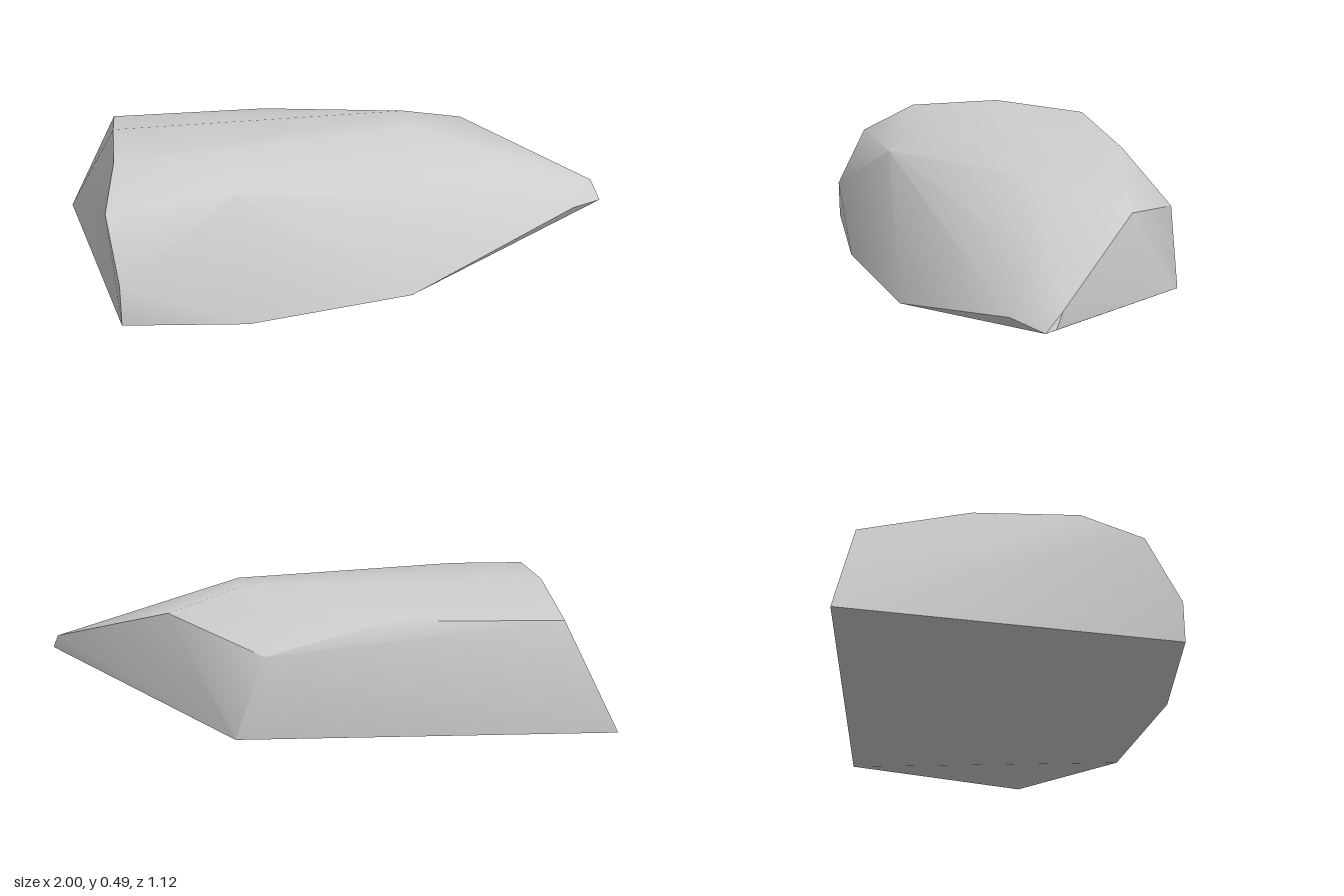
import * as THREE from 'three';
import { ConvexGeometry } from 'three/addons/geometries/ConvexGeometry.js';
import { toCreasedNormals } from 'three/addons/utils/BufferGeometryUtils.js';

export function createModel() {
  const group = new THREE.Group();
  group.name = 'rock';
  const stone = new THREE.MeshStandardMaterial({ color: 0xcccccc });
  stone.name = 'stone grey';

  // Corners of the boulder, grouped by region
  const base = [
    [-1, 0.027, -0.56], [-0.81, 0.025, 0.555], [-0.38, 0, 0.56],
    [0.21, 0.017, 0.455], [0.32, 0.027, -0.56],
  ];
  const bluntEnd = [
    [-0.81, 0.17, 0.555], [-0.845, 0.385, 0.435], [-0.81, 0.49, 0.23],
    [-0.81, 0.49, -0.13], [-0.81, 0.415, -0.51],
  ];
  const nose = [
    [0.87, 0.21, 0.205], [1, 0.2, 0.12], [1, 0.21, 0.085], [0.98, 0.26, 0.06],
  ];
  const crown = [
    [-0.54, 0.488, 0.24], [-0.4, 0.415, 0.395], [0.3, 0.485, -0.01],
    [0.3, 0.485, -0.2], [0.68, 0.345, 0.1], [0.55, 0.415, -0.3],
  ];
  const backRim = [[-0.21, 0.42, -0.505], [0.22, 0.315, -0.56]];

  const points = [...base, ...bluntEnd, ...nose, ...crown, ...backRim]
    .map((p) => new THREE.Vector3(...p));

  // Gentle facets blend together, strong ridges stay sharp
  const geometry = toCreasedNormals(new ConvexGeometry(points), 0.65);
  const boulder = new THREE.Mesh(geometry, stone);
  boulder.name = 'boulder';
  group.add(boulder);
  return group;
}
